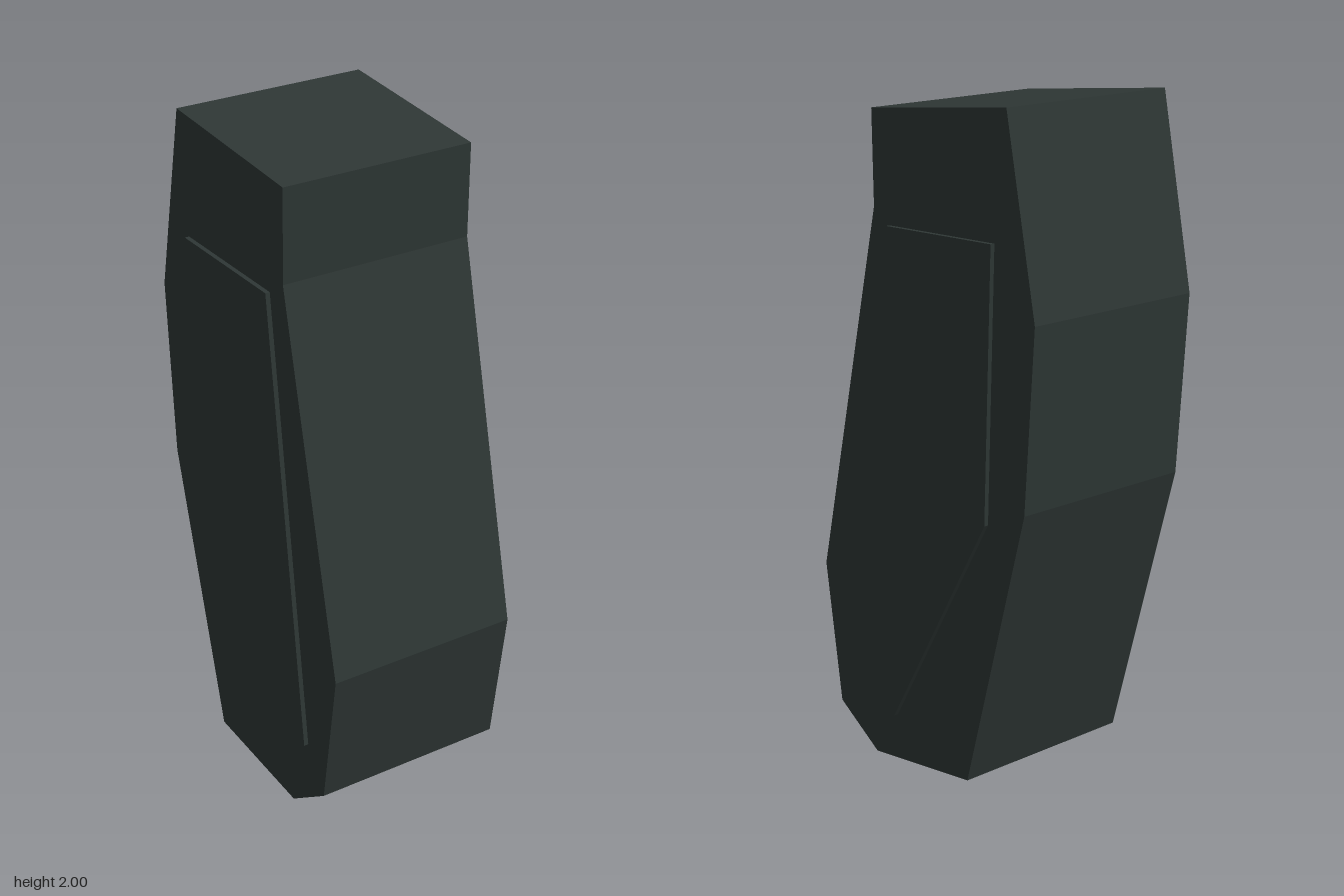
import * as THREE from 'three';

// Side profiles as [z, y] points
const bodyProfile = [
  [0.205, 1.947], [0.2, 1.67], [0.453, 0.545], [0.39, 0.115], [0.225, 0],
  [-0.18, 0.04], [-0.415, 0.9], [-0.453, 1.435], [-0.343, 2],
];
const panelProfile = [
  [0.133, 1.625], [0.308, 0.25], [0.127, 0.15], [-0.27, 0.84], [-0.297, 1.635],
];

// Extrudes a side profile across x, starting at x0
function extrudeSide(profile, x0, width) {
  const shape = new THREE.Shape(profile.map(([z, y]) => new THREE.Vector2(-z, y)));
  const geometry = new THREE.ExtrudeGeometry(shape, { depth: width, bevelEnabled: false });
  return geometry.rotateY(Math.PI / 2).translate(x0, 0, 0);
}

export function createModel() {
  const model = new THREE.Group();
  model.name = 'angledGrip';
  const darkGrey = new THREE.MeshStandardMaterial({ color: 0x2e3735 });
  darkGrey.name = 'darkGrey';

  const add = (name, geometry) => {
    const mesh = new THREE.Mesh(geometry, darkGrey);
    mesh.name = name;
    model.add(mesh);
  };

  // Faceted grip body
  add('gripBody', extrudeSide(bodyProfile, -0.302, 0.604));

  // Raised panel on each side
  const thickness = 0.014;
  add('leftPanel', extrudeSide(panelProfile, 0.302, thickness));
  add('rightPanel', extrudeSide(panelProfile, -0.302 - thickness, thickness));

  return model;
}
